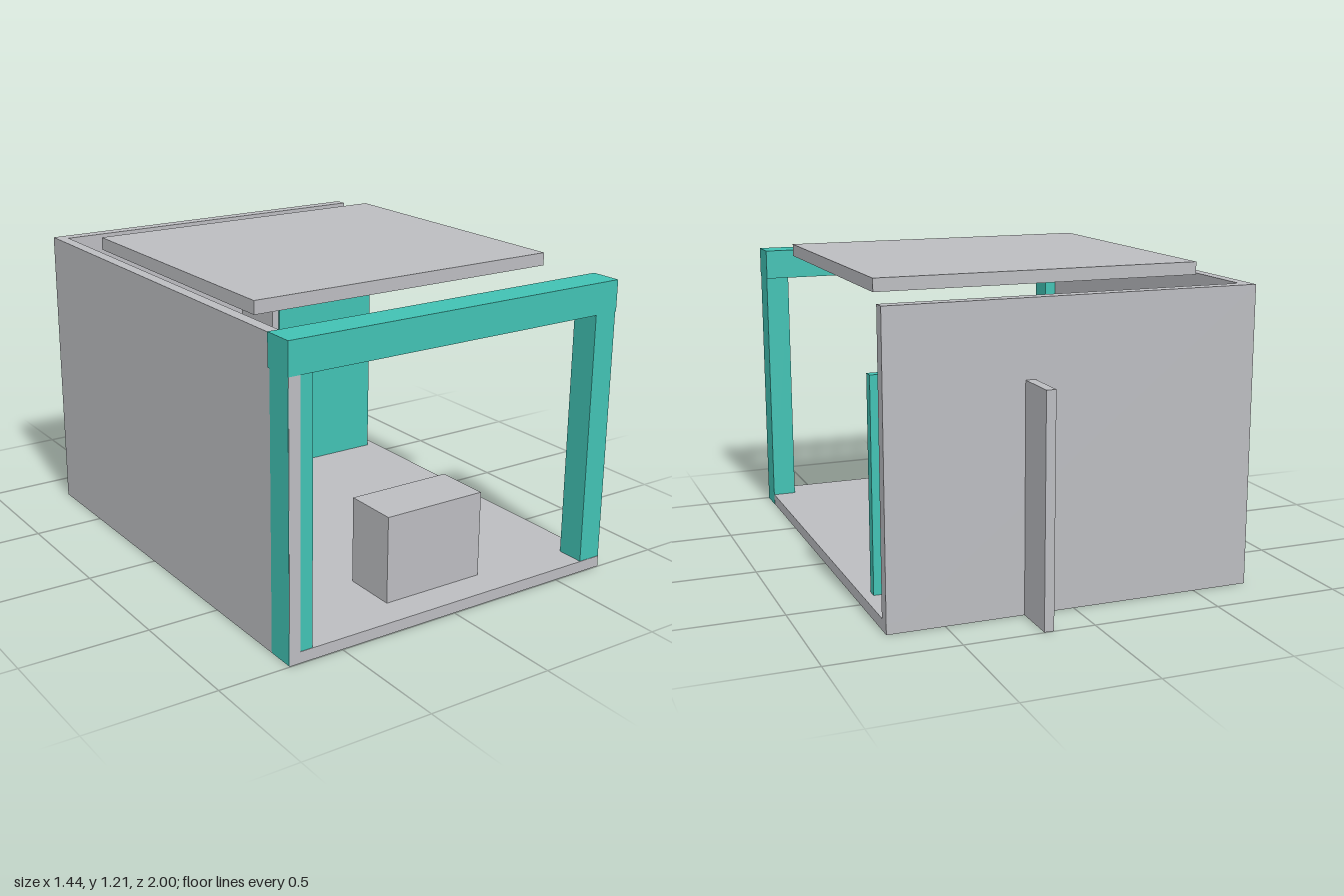
import * as THREE from 'three';

export function createModel() {
  const group = new THREE.Group();
  group.name = 'showroomBooth';

  const grey = new THREE.MeshStandardMaterial({ color: 0xbbbcc0 });
  grey.name = 'grey';
  const teal = new THREE.MeshStandardMaterial({ color: 0x41c1b3 });
  teal.name = 'teal';

  // Box given by its extents along each axis
  function slab(name, material, [x0, x1], [y0, y1], [z0, z1]) {
    const mesh = new THREE.Mesh(new THREE.BoxGeometry(x1 - x0, y1 - y0, z1 - z0), material);
    mesh.position.set((x0 + x1) / 2, (y0 + y1) / 2, (z0 + z1) / 2);
    mesh.name = name;
    group.add(mesh);
  }

  // Shell: floor, back wall and one side wall; the +x side stays open
  slab('floor', grey, [-0.72, 0.72], [0.001, 0.045], [-0.82, 0.999]);
  slab('backWall', grey, [-0.72, 0.72], [0.001, 1.16], [-0.82, -0.77]);
  slab('sideWall', grey, [-0.72, -0.675], [0.001, 1.16], [-0.82, 0.999]);

  // Front portal: two posts and a beam, a hair proud of the shell at the sides
  slab('rightPost', teal, [-0.721, -0.625], [0.002, 1.04], [0.885, 0.997]);
  slab('leftPost', teal, [0.625, 0.721], [0, 1.04], [0.885, 0.997]);
  slab('portalBeam', teal, [-0.722, 0.722], [1.04, 1.162], [0.875, 1]);

  // Raised ceiling panel
  slab('ceilingPanel', grey, [-0.65, 0.65], [1.16, 1.21], [-0.5, 0.675]);

  // Counter near the entrance
  slab('counter', grey, [-0.215, 0.215], [0.045, 0.386], [0.65, 0.87]);

  // Partition fin through the back wall, with the panel in front of it
  slab('partitionFin', grey, [0.16, 0.197], [0.001, 0.87], [-1, -0.51]);
  slab('partitionPanel', teal, [0.19, 0.68], [0, 0.871], [-0.54, -0.5]);

  return group;
}
